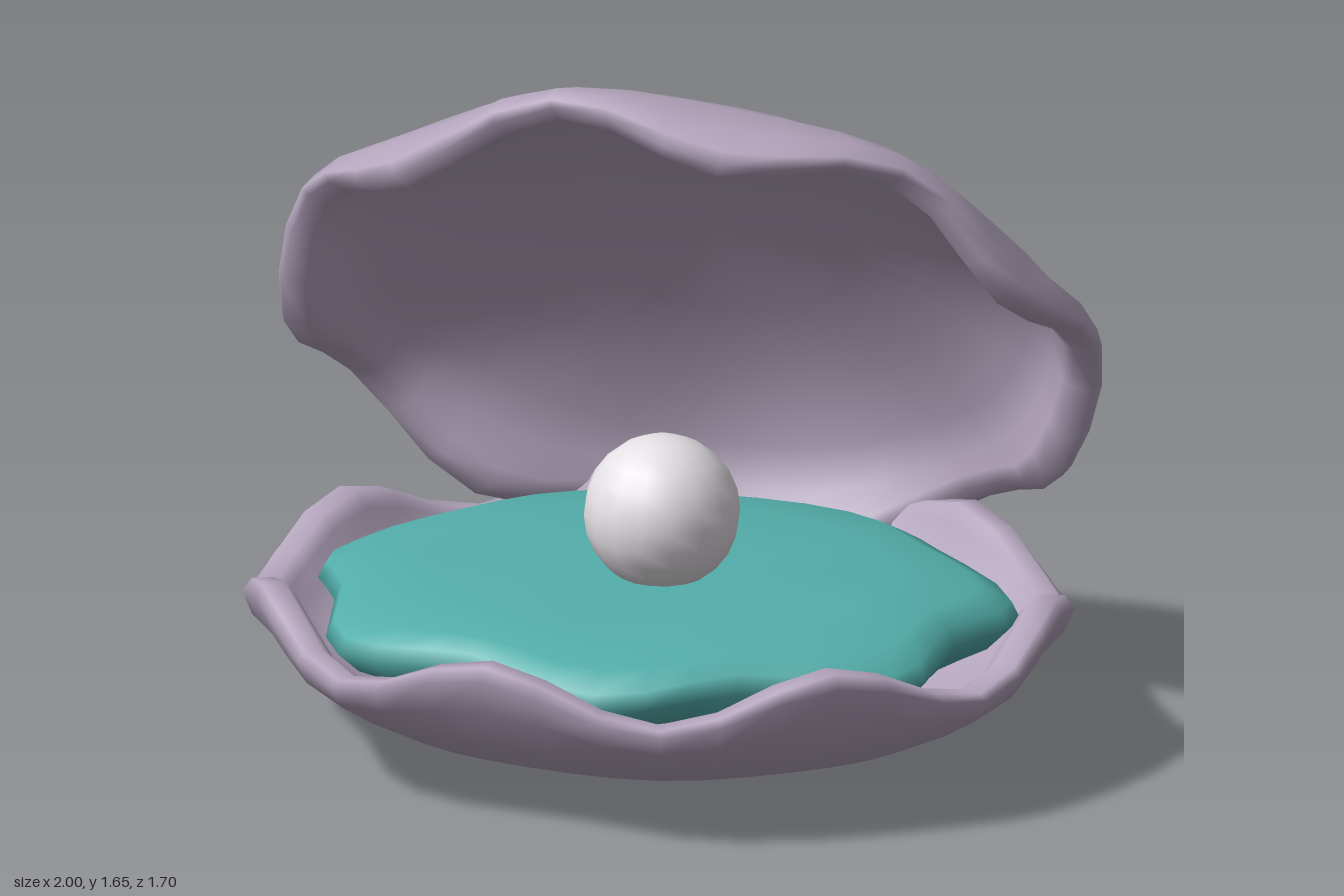
import * as THREE from 'three';
import { mergeVertices } from 'three/addons/utils/BufferGeometryUtils.js';

const DEPTH = 0.855; // the shells are ovals, shallower than wide
const SEGMENTS = 42;
const WAVES = 7;

// Closed surface from rings running bottom centre -> edge -> top centre.
// Each ring is [radius, y, radiusWave, yWave]; the waves follow cos(7 * angle).
function wavyRings(rings, phase) {
  const positions = [];
  const index = [];
  for (const [r, y, rWave, yWave] of rings) {
    for (let i = 0; i < SEGMENTS; i++) {
      const a = (i / SEGMENTS) * Math.PI * 2 + phase;
      const c = Math.cos(WAVES * (a - phase));
      const radius = r + rWave * c;
      positions.push(radius * Math.cos(a), y + yWave * c, radius * Math.sin(a) * DEPTH);
    }
  }
  for (let j = 0; j < rings.length - 1; j++) {
    for (let i = 0; i < SEGMENTS; i++) {
      const n = (i + 1) % SEGMENTS;
      const a = j * SEGMENTS + i, b = j * SEGMENTS + n;
      const d = a + SEGMENTS, e = b + SEGMENTS;
      index.push(a, d, b, b, d, e);
    }
  }
  let geometry = new THREE.BufferGeometry();
  geometry.setAttribute('position', new THREE.Float32BufferAttribute(positions, 3));
  geometry.setIndex(index);
  geometry = mergeVertices(geometry, 1e-4);
  geometry.computeVertexNormals();
  return geometry;
}

export function createModel() {
  const group = new THREE.Group();
  const shellMaterial = new THREE.MeshStandardMaterial({ color: 0xb5a6be });
  shellMaterial.name = 'mauve shell';
  const fleshMaterial = new THREE.MeshStandardMaterial({ color: 0x53aeab });
  fleshMaterial.name = 'teal flesh';
  const pearlMaterial = new THREE.MeshStandardMaterial({ color: 0xe4e0e4 });
  pearlMaterial.name = 'pearl white';

  const add = (name, geometry, material) => {
    const mesh = new THREE.Mesh(geometry, material);
    mesh.name = name;
    group.add(mesh);
    return mesh;
  };

  // Shell: outer bowl, thick scalloped rim, inner bowl
  const shell = wavyRings([
    [0, 0, 0, 0],
    [0.27, 0.015, 0, 0],
    [0.52, 0.053, 0, 0],
    [0.72, 0.112, 0, 0.003],
    [0.87, 0.195, -0.006, 0.01],
    [0.965, 0.28, -0.015, 0.028],
    [0.995, 0.348, -0.006, 0.05],
    [0.978, 0.372, -0.004, 0.06],
    [0.925, 0.374, -0.008, 0.06],
    [0.895, 0.345, -0.008, 0.05],
    [0.865, 0.28, -0.008, 0.025],
    [0.79, 0.21, -0.004, 0.008],
    [0.6, 0.135, 0, 0],
    [0.35, 0.085, 0, 0],
    [0, 0.065, 0, 0],
  ], 0);
  add('lowerShell', shell, shellMaterial);

  // The lid is the same shell, turned over and opened about the back
  const lid = add('upperShell', shell, shellMaterial);
  lid.rotation.set(THREE.MathUtils.degToRad(-54), 0, Math.PI);
  lid.position.set(0, 1.138, -0.568);

  // Flesh: soft cushion with a lobed, drooping edge
  add('flesh', wavyRings([
    [0, 0.2, 0, 0],
    [0.6, 0.22, 0.02, 0],
    [0.77, 0.27, 0.04, -0.005],
    [0.82, 0.325, 0.045, -0.012],
    [0.8, 0.368, 0.045, -0.015],
    [0.73, 0.402, 0.035, -0.008],
    [0.55, 0.425, 0.015, -0.003],
    [0.28, 0.432, 0, 0],
    [0, 0.435, 0, 0],
  ], THREE.MathUtils.degToRad(88)), fleshMaterial);

  // Pearl resting on the flesh
  const pearl = add('pearl', new THREE.SphereGeometry(0.187, 16, 12), pearlMaterial);
  pearl.position.set(0.02, 0.585, 0.042);

  return group;
}
